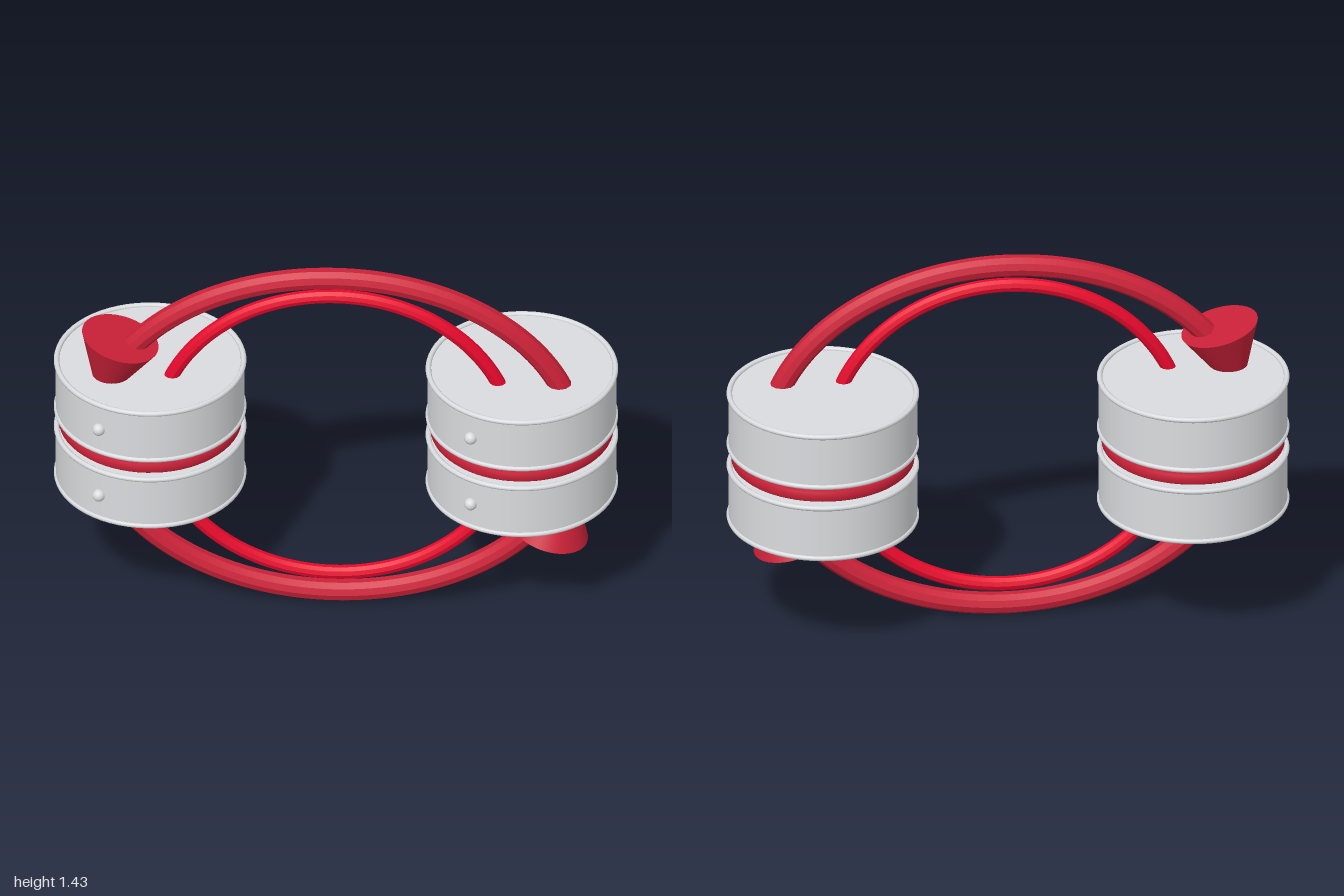
import * as THREE from 'three';

const mat = (name, color, extra = {}) => {
  const m = new THREE.MeshStandardMaterial({ color, ...extra });
  m.name = name;
  return m;
};

export function createModel() {
  const grey = mat('light steel grey', 0xd9dbde);
  const red = mat('crimson', 0xcc2138);
  const tubeRed = mat('crimson tube', 0xcc2138, { flatShading: true });
  const brightRed = mat('bright red', 0xe6082c, { flatShading: true });

  const model = new THREE.Group();
  model.name = 'linkedDrums';

  const add = (parent, name, geometry, material, x = 0, y = 0, z = 0) => {
    const mesh = new THREE.Mesh(geometry, material);
    mesh.name = name;
    mesh.position.set(x, y, z);
    parent.add(mesh);
    return mesh;
  };

  // Shared drum geometries
  const drumGeo = new THREE.CylinderGeometry(0.334, 0.334, 0.198, 64);
  const rimGeo = new THREE.TorusGeometry(0.331, 0.01, 10, 64).rotateX(Math.PI / 2);
  const knobGeo = new THREE.SphereGeometry(0.023, 16, 12);
  const discGeo = new THREE.LatheGeometry(
    [[0, -0.022], [0.318, -0.022], [0.324, -0.016], [0.325, 0], [0.324, 0.016], [0.318, 0.022], [0, 0.022]]
      .map(([r, y]) => new THREE.Vector2(r, y)), 64);

  // Two stacks: a pair of drums with a red disc between them
  for (const side of [-1, 1]) {
    const stack = new THREE.Group();
    stack.name = side > 0 ? 'leftStack' : 'rightStack';
    stack.position.x = side * 0.658;
    for (const y of [0.575, 0.861]) {
      add(stack, 'drum', drumGeo, grey, 0, y);
      for (const s of [-1, 1]) add(stack, 'rim', rimGeo, grey, 0, y + s * 0.1);
      add(stack, 'knob', knobGeo, grey, -0.17, y, 0.292);
    }
    add(stack, 'redDisc', discGeo, red, 0, 0.718);
    model.add(stack);
  }

  // Elliptical tube between two angles
  const arcTube = (rx, ry, a0, a1, radius, sides) => {
    const pts = new THREE.EllipseCurve(0, 0, rx, ry, a0, a1).getPoints(40)
      .map(p => new THREE.Vector3(p.x, p.y, 0));
    return new THREE.TubeGeometry(new THREE.CatmullRomCurve3(pts), 72, radius, sides);
  };
  const arrowGeo = arcTube(0.85, 0.676, 0.3, Math.PI - 0.58, 0.04, 10);
  const linkGeo = arcTube(0.63, 0.599, 0.3, Math.PI - 0.3, 0.026, 10);
  const headGeo = new THREE.ConeGeometry(0.14, 0.29, 48).translate(0, 0.145, 0);

  // Arrow and inner link, repeated by a half turn
  for (const half of [0, 1]) {
    const loop = new THREE.Group();
    loop.name = half ? 'lowerLoop' : 'upperLoop';
    loop.position.set(0, 0.717, 0.085);
    loop.rotation.z = half * Math.PI;
    add(loop, 'arrowShaft', arrowGeo, tubeRed);
    add(loop, 'innerLink', linkGeo, brightRed);
    add(loop, 'arrowHead', headGeo, red, -0.76, 0.392).rotation.z = Math.PI - 0.258;
    model.add(loop);
  }
  return model;
}
